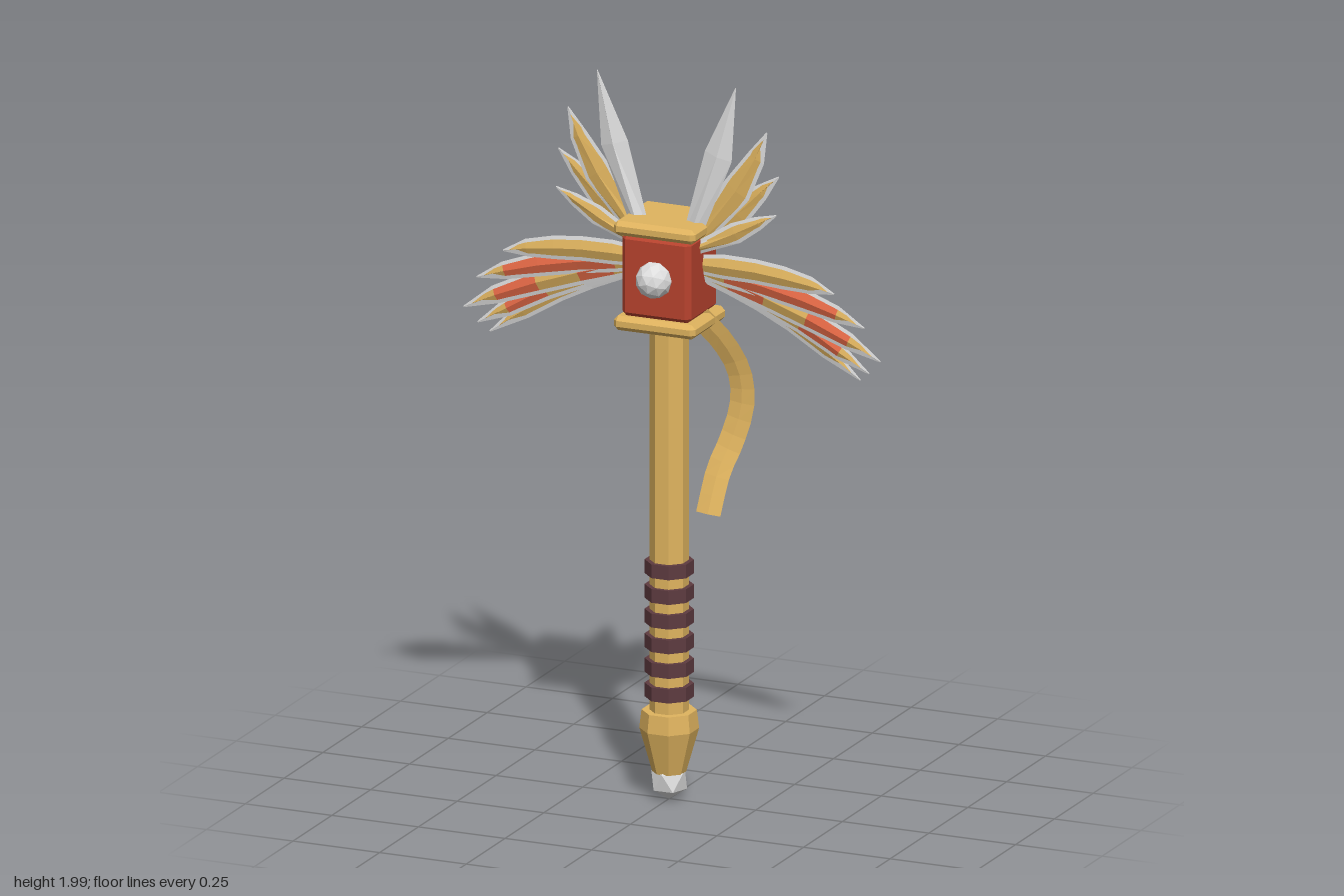
import * as THREE from 'three';
import { ConvexGeometry } from 'three/addons/geometries/ConvexGeometry.js';

const mat = (name, color, side = THREE.FrontSide) => {
  const m = new THREE.MeshStandardMaterial({ color, flatShading: true, side });
  m.name = name;
  return m;
};

// Box with every edge chamfered by c
function chamferBox(w, h, d, c) {
  const pts = [];
  for (const x of [-w / 2, w / 2]) for (const y of [-h / 2, h / 2]) for (const z of [-d / 2, d / 2]) {
    const sx = Math.sign(x) * c, sy = Math.sign(y) * c, sz = Math.sign(z) * c;
    pts.push(new THREE.Vector3(x, y - sy, z - sz), new THREE.Vector3(x - sx, y, z - sz), new THREE.Vector3(x - sx, y - sy, z));
  }
  return new ConvexGeometry(pts);
}

// Flat blade with diamond cross-sections; each section is [x, y, z, half width, half thickness].
// mirror is 1 or -1 in x; slots gives the material slot of each segment.
function blade(sections, mirror = 1, slots = []) {
  const pos = [], index = [], geo = new THREE.BufferGeometry();
  sections.forEach(([x, y, z, w, t], i) => {
    const a = sections[Math.max(0, i - 1)], b = sections[Math.min(sections.length - 1, i + 1)];
    const len = Math.hypot(b[0] - a[0], b[1] - a[1]);
    const nx = -(b[1] - a[1]) / len, ny = (b[0] - a[0]) / len;
    pos.push(mirror * (x + nx * w), y + ny * w, z, mirror * x, y, z + t,
      mirror * (x - nx * w), y - ny * w, z, mirror * x, y, z - t);
  });
  const tri = (a, b, c) => (mirror > 0 ? index.push(a, b, c) : index.push(a, c, b));
  const n = sections.length - 1;
  tri(0, 3, 2); tri(0, 2, 1);
  geo.addGroup(0, 6, slots[0] || 0);
  for (let i = 0; i < n; i++) {
    const start = index.length;
    for (let k = 0; k < 4; k++) {
      const a = i * 4 + k, b = i * 4 + (k + 1) % 4;
      tri(a, b, b + 4); tri(a, b + 4, a + 4);
    }
    geo.addGroup(start, 24, slots[i] || 0);
  }
  const start = index.length, e = n * 4;
  tri(e, e + 1, e + 2); tri(e, e + 2, e + 3);
  geo.addGroup(start, 6, slots[n - 1] || 0);
  geo.setAttribute('position', new THREE.Float32BufferAttribute(pos, 3));
  geo.setIndex(index);
  geo.computeVertexNormals();
  return geo;
}

export function createModel() {
  const gold = mat('gold', 0xe0b45f, THREE.DoubleSide);
  const red = mat('red', 0xb8432e);
  const featherRed = mat('feather red', 0xea6c48, THREE.DoubleSide);
  const silver = mat('silver', 0xdedede, THREE.DoubleSide);
  const leather = mat('leather', 0x5e3b40);

  const model = new THREE.Group();
  const add = (name, geo, material, x = 0, y = 0, z = 0) => {
    const m = new THREE.Mesh(geo, material);
    m.name = name;
    m.position.set(x, y, z);
    model.add(m);
  };
  const octagon = (r, h) => new THREE.CylinderGeometry(r, r, h, 8, 1, false, Math.PI / 8);

  // Coloured feather body over a slightly wider silver blade that forms its rim and tip
  const feather = (name, sections, side, slots) => {
    const rim = sections.map(([x, y, z, w, t]) => [x, y, z, w + 0.002, t * 0.7]);
    const body = sections.map(([x, y, z, w, t]) => [x, y, z, w - 0.002, t]);
    const [prev, tip] = sections.slice(-2);
    body[body.length - 1] = [0, 1, 2].map(k => THREE.MathUtils.lerp(prev[k], tip[k], 0.72)).concat(0.001, 0.003);
    add(name + 'Rim', blade(rim, side), silver);
    add(name, blade(body, side, slots), [gold, featherRed]);
  };

  // Shaft and grip wraps
  add('shaft', octagon(0.052, 1.16), gold, 0, 0.78);
  for (let i = 0; i < 6; i++) add('gripWrap', octagon(0.065, 0.038), leather, 0, 0.31 + i * 0.068);

  // Pommel with a faceted gem below
  const profile = [[0, 0.085], [0.045, 0.085], [0.079, 0.205], [0.073, 0.255], [0, 0.255]].map(p => new THREE.Vector2(...p));
  add('pommel', new THREE.LatheGeometry(profile, 8, Math.PI / 8), gold);
  const tilt = Math.atan(2 / (1 + Math.sqrt(5)));
  add('pommelGem', new THREE.IcosahedronGeometry(0.053, 0).rotateX(tilt + Math.PI / 2), silver, 0, 0.062);

  // Head block, caps and studs
  add('headBlock', chamferBox(0.2, 0.23, 0.186, 0.014), red, 0, 1.467);
  add('upperCap', chamferBox(0.236, 0.04, 0.214, 0.012), gold, 0, 1.597, -0.002);
  add('lowerCap', chamferBox(0.236, 0.04, 0.214, 0.012), gold, 0, 1.335, -0.002);
  for (const s of [-1, 1])
    add('stud', new THREE.IcosahedronGeometry(0.05, 1).rotateX(tilt), silver, 0, 1.467, s * 0.097);

  // Crest feathers: root, middle, shoulder, tip, then half width and z
  const crest = [
    [[0.07, 1.54], [0.2, 1.715], [0.255, 1.81], [0.287, 1.885], 0.04, 0.012],
    [[0.08, 1.54], [0.2, 1.65], [0.265, 1.715], [0.318, 1.765], 0.034, 0.004],
    [[0.08, 1.54], [0.2, 1.6], [0.265, 1.635], [0.318, 1.663], 0.027, 0.02],
  ];
  // Wing feathers: spine from root to tip, half width, z and material slots (0 gold, 1 red)
  const wing = [
    [[[0.08, 1.495], [0.16, 1.497], [0.25, 1.496], [0.33, 1.489], [0.41, 1.478], [0.478, 1.462]], 0.032, 0.004, []],
    [[[0.08, 1.485], [0.16, 1.474], [0.27, 1.456], [0.38, 1.432], [0.48, 1.403], [0.56, 1.375]], 0.032, -0.008, [0, 1, 1, 1, 0]],
    [[[0.08, 1.48], [0.17, 1.455], [0.27, 1.423], [0.39, 1.38], [0.51, 1.33], [0.602, 1.285]], 0.033, -0.018, [0, 1, 0, 1, 0]],
    [[[0.08, 1.475], [0.16, 1.45], [0.26, 1.412], [0.37, 1.362], [0.48, 1.295], [0.565, 1.245]], 0.031, -0.027, [0, 1, 0, 1, 0]],
    [[[0.08, 1.47], [0.16, 1.445], [0.25, 1.405], [0.34, 1.357], [0.44, 1.288], [0.535, 1.22]], 0.03, -0.038, []],
  ];
  const taper = [0.75, 1, 1, 0.95, 0.7, 0];
  const depth = [0.4, 0.7, 0.9, 1, 1, 1];
  for (const s of [-1, 1]) {
    // Silver horns
    add('horn', blade([[0.068, 1.56, 0.018, 0.024, 0.014], [0.15, 1.805, 0.018, 0.04, 0.012],
      [0.2, 2, 0.018, 0.001, 0.001]], s), silver);
    for (const [a, b, c, d, w, z] of crest)
      feather('crestFeather', [[...a, z, w * 0.5, 0.008], [...b, z, w, 0.008],
        [...c, z, w * 0.62, 0.006], [...d, z, 0, 0.001]], s, []);
    for (const [spine, w, z, slots] of wing)
      feather('wingFeather', spine.map((p, i) => [...p, z * depth[i], w * taper[i], 0.001 + 0.009 * taper[i]]), s, slots);
  }

  // Ribbon hanging from the lower cap
  const path = new THREE.CatmullRomCurve3([
    [0.075, 1.345, -0.02], [0.13, 1.275, -0.05], [0.168, 1.19, -0.075], [0.175, 1.1, -0.08],
    [0.152, 1, -0.065], [0.127, 0.92, -0.035], [0.115, 0.81, 0.005],
  ].map(p => new THREE.Vector3(...p)));
  add('ribbon', blade(path.getPoints(14).map(p => [p.x, p.y, p.z, 0.035, 0.004])), gold);

  return model;
}
